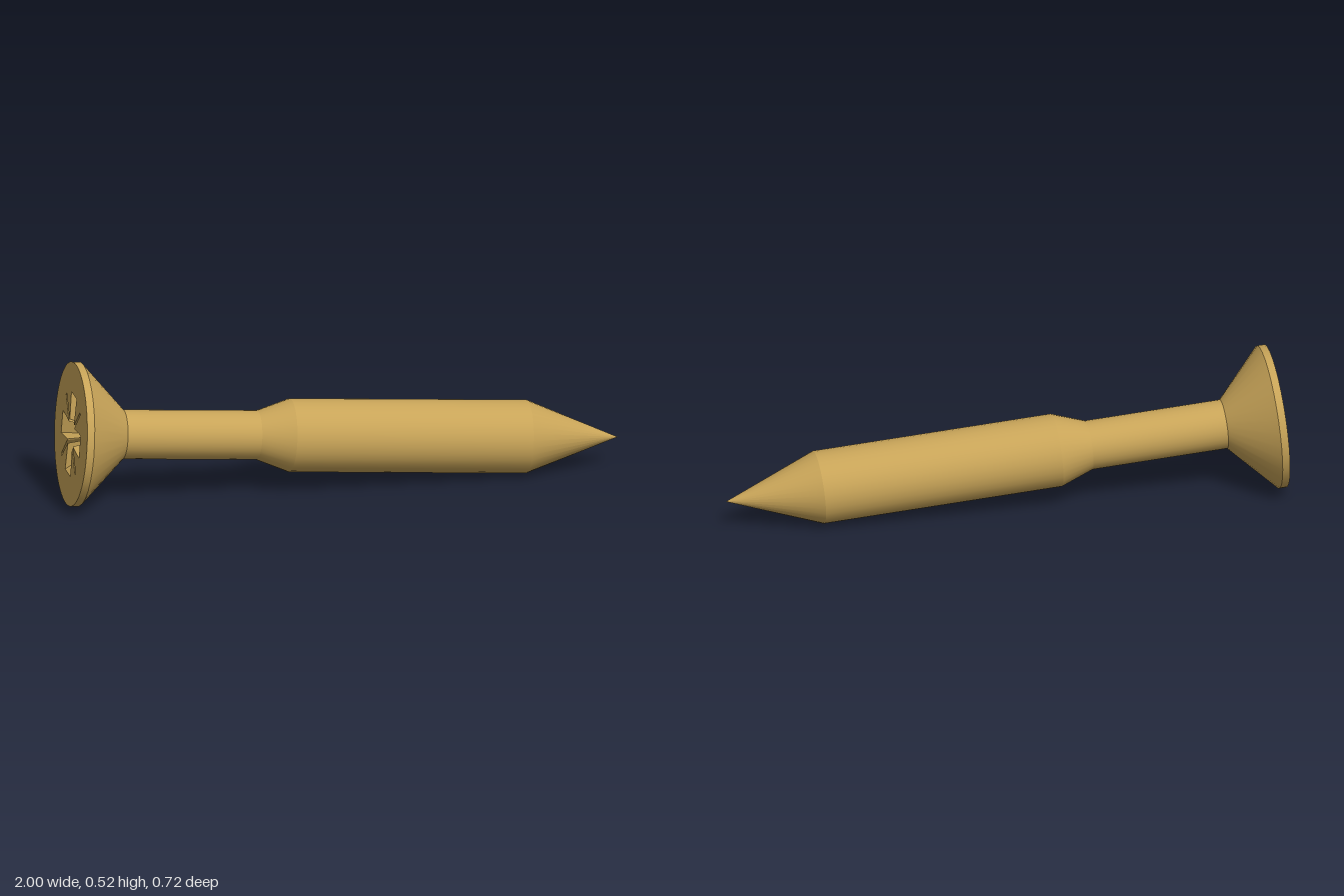
import * as THREE from 'three';

const SIDES = 32;
const HEAD_R = 0.257;

// Cross-shaped driver socket with a thin slit between each pair of arms
function socketOutline(scale = 1) {
  const pts = [];
  const slit = (r, w) => [(r + w) * Math.SQRT1_2, (r - w) * Math.SQRT1_2];
  const quarter = [
    [0.145, -0.042], [0.145, 0.042], [0.045, 0.033],
    slit(0.06, 0.006), slit(0.16, 0.005), slit(0.16, -0.005), slit(0.06, -0.006),
    [0.033, 0.045],
  ];
  for (let k = 0; k < 4; k++) {
    for (const [x, y] of quarter) {
      pts.push(new THREE.Vector2(x, y).rotateAround(new THREE.Vector2(), k * Math.PI / 2).multiplyScalar(scale));
    }
  }
  return pts;
}

// Sloping socket walls between the face outline and the smaller floor outline
function socketWalls(top, bottom, depth) {
  const pos = [];
  const put = (p, y) => pos.push(p.x, y, p.y);
  top.forEach((a, i) => {
    const j = (i + 1) % top.length;
    put(a, 0); put(top[j], 0); put(bottom[j], depth);
    put(a, 0); put(bottom[j], depth); put(bottom[i], depth);
  });
  const g = new THREE.BufferGeometry();
  g.setAttribute('position', new THREE.Float32BufferAttribute(pos, 3));
  g.computeVertexNormals();
  return g;
}

export function createModel() {
  const model = new THREE.Group();
  model.name = 'screw';
  const brass = new THREE.MeshStandardMaterial({ color: 0xc8a458 });
  const brassInside = brass;
  const add = (name, geometry, material = brass) => {
    const mesh = new THREE.Mesh(geometry, material);
    mesh.name = name;
    model.add(mesh);
  };

  // Round sections along the axis: name, start, end, start radius, end radius
  const sections = [
    ['headRim', 0, 0.027, HEAD_R, HEAD_R],
    ['headCone', 0.027, 0.188, HEAD_R, 0.088],
    ['neck', 0.188, 0.677, 0.088, 0.088],
    ['shoulder', 0.677, 0.795, 0.088, 0.131],
    ['shank', 0.795, 1.656, 0.131, 0.131],
    ['point', 1.656, 1.992, 0.131, 0],
  ];
  for (const [name, y0, y1, r0, r1] of sections) {
    const g = new THREE.CylinderGeometry(r1, r0, y1 - y0, SIDES, 1, true);
    add(name, g.translate(0, (y0 + y1) / 2, 0));
  }

  // Flat head face pierced by the socket
  const depth = 0.1;
  const top = socketOutline();
  const bottom = socketOutline(0.4);
  const face = new THREE.Shape().absarc(0, 0, HEAD_R, 0, Math.PI * 2, false);
  face.holes.push(new THREE.Path(top));
  add('headFace', new THREE.ShapeGeometry(face, SIDES).rotateX(Math.PI / 2));
  add('socketWalls', socketWalls(top, bottom, depth), brassInside);
  add('socketFloor', new THREE.ShapeGeometry(new THREE.Shape(bottom)).rotateX(Math.PI / 2).translate(0, depth, 0), brassInside);

  // Lay the screw along its tilted axis, keeping the socket upright
  const start = new THREE.Vector3(-0.943, 0.264, -0.112);
  const axis = new THREE.Vector3(1, 0.108, 0.3).sub(start).normalize();
  const up = new THREE.Vector3(0, 1, 0).addScaledVector(axis, -axis.y).normalize();
  const side = new THREE.Vector3().crossVectors(up, axis);
  model.quaternion.setFromRotationMatrix(new THREE.Matrix4().makeBasis(up, axis, side));
  model.position.copy(start);

  const root = new THREE.Group();
  root.name = 'model';
  root.add(model);
  return root;
}
